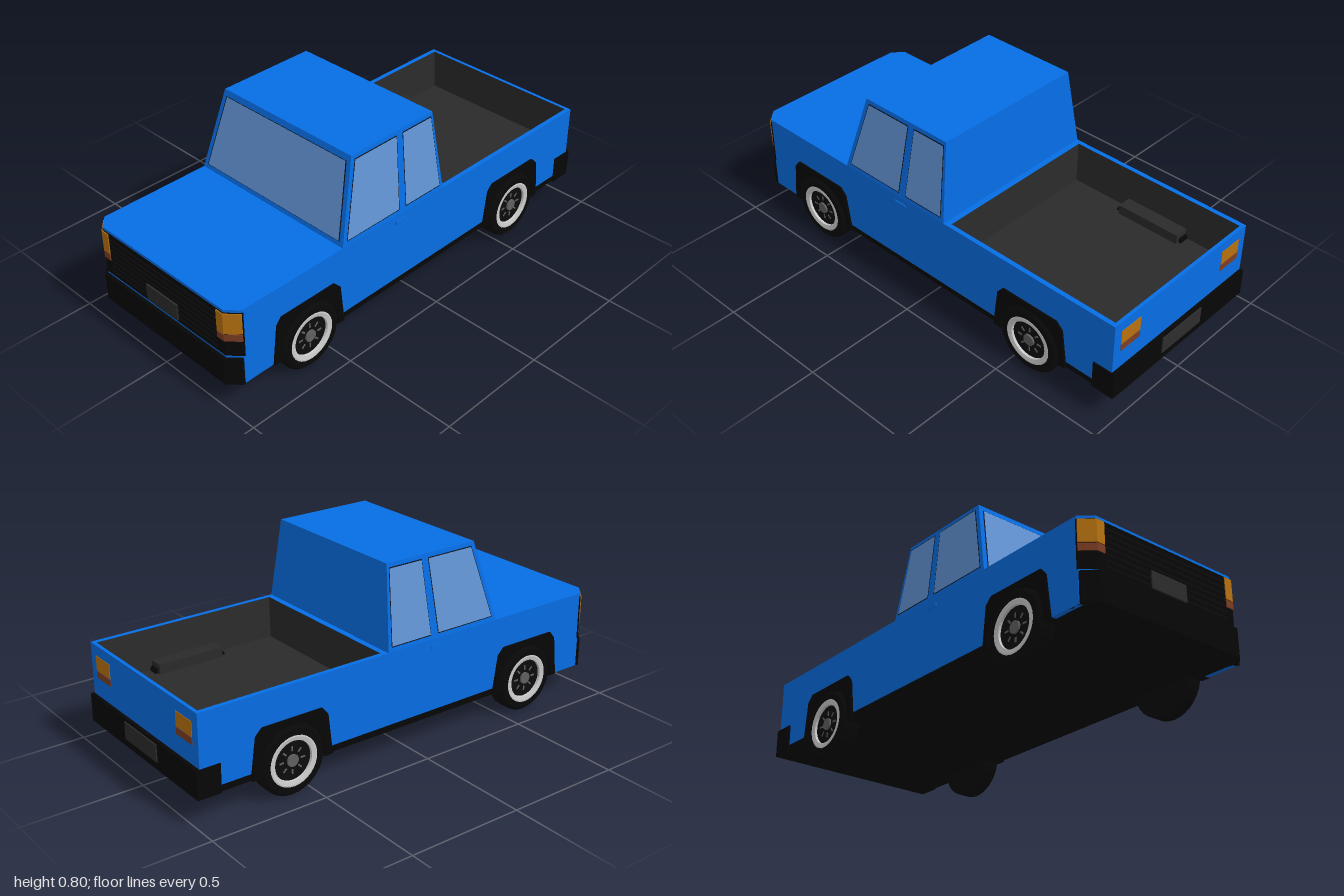
import * as THREE from 'three';

const mat = (color, side = THREE.FrontSide) =>
  new THREE.MeshStandardMaterial({ color, side, flatShading: true });
const blue = mat(0x066de4), black = mat(0x060606), dark = mat(0x0c0c0c), plateGrey = mat(0x2c2c2c);
const bedGrey = mat(0x2a2a2a), tubGrey = mat(0x2a2a2a, THREE.DoubleSide);
const orange = mat(0xb87210), brown = mat(0x7c3d24), silver = mat(0xbcbcbc), hubGrey = mat(0x606060);
const glass = mat(0x6294d4, THREE.DoubleSide), seal = mat(0x0c1420, THREE.DoubleSide);
const tyreMat = new THREE.MeshStandardMaterial({ color: 0x080808 });

export function createModel() {
  const root = new THREE.Group();
  const add = (name, geo, material, parent = root) => {
    const m = new THREE.Mesh(geo, material);
    m.name = name;
    parent.add(m);
    return m;
  };
  // Box given by its limits on each axis
  const box = (name, x0, x1, y0, y1, z0, z1, material) => {
    const g = new THREE.BoxGeometry(x1 - x0, y1 - y0, z1 - z0);
    g.translate((x0 + x1) / 2, (y0 + y1) / 2, (z0 + z1) / 2);
    return add(name, g, material);
  };
  const shapeOf = (pts) => new THREE.Shape(pts.map(([a, b]) => new THREE.Vector2(a, b)));
  // Side outline in (z, y), extruded across x
  const sideSlab = (name, shape, x0, x1, material) => {
    const g = new THREE.ExtrudeGeometry(shape, { depth: x1 - x0, bevelEnabled: false, curveSegments: 20 });
    g.rotateY(-Math.PI / 2).translate(x1, 0, 0);
    return add(name, g, material);
  };
  // Plan outline in (x, z), extruded up y
  const planSlab = (name, pts, y0, y1, material) => {
    const g = new THREE.ExtrudeGeometry(shapeOf(pts), { depth: y1 - y0, bevelEnabled: false });
    g.rotateX(Math.PI / 2).translate(0, y1, 0);
    return add(name, g, material);
  };
  // Full-width slab with chamfered front corners
  const noseSlab = (name, w, zBack, zFront, y0, y1, material) => planSlab(name, [
    [-w, zBack], [w, zBack], [w, zFront - 0.045], [w - 0.05, zFront],
    [0.05 - w, zFront], [-w, zFront - 0.045]], y0, y1, material);

  const wheelZ = [0.62, -0.585];
  const archOutline = (z, y) => [
    [z + 0.185, y], [z + 0.165, 0.29], [z + 0.14, 0.32],
    [z - 0.13, 0.32], [z - 0.16, 0.29], [z - 0.18, y]];

  // Underbody, deck and nose
  box('underbody', -0.33, 0.33, 0.115, 0.275, -0.97, 0.955, black);
  box('engineBay', -0.33, 0.33, 0.27, 0.41, -0.12, 0.93, black);
  box('deck', -0.38, 0.38, 0.4, 0.455, -0.15, 0.94, blue);
  box('bedFrontWall', -0.38, 0.38, 0.2, 0.41, -0.14, -0.125, blue);
  noseSlab('nose', 0.4, 0.92, 0.985, 0.125, 0.455, blue);
  box('tailgate', -0.38, 0.38, 0.145, 0.455, -0.98, -0.965, blue);

  // Side panels with wheel cut-outs, sills and arches
  const panel = shapeOf([[0.94, 0.115], [0.94, 0.455], [-0.98, 0.455], [-0.98, 0.145],
    ...archOutline(wheelZ[1], 0.145).reverse(), [0.438, 0.145],
    ...archOutline(wheelZ[0], 0.115).reverse().slice(1)]);
  for (const s of [1, -1]) {
    const side = s > 0 ? 'left' : 'right';
    const span = (a, b) => (s > 0 ? [a, b] : [-b, -a]);
    sideSlab(side + 'BodySide', panel, ...span(0.38, 0.4), blue);
    for (const [a, b] of [[-0.41, 0.445], [-0.975, -0.76], [0.8, 0.95]])
      box(side + 'Sill', ...span(0.32, 0.396), 0.115, 0.2, a, b, black);
    for (const z of wheelZ) {
      const r = 0.149, y = 0.145, a0 = -Math.asin(0.03 / r);
      const arch = new THREE.Shape();
      archOutline(z, 0.115).forEach(([a, b], i) => (i ? arch.lineTo(a, b) : arch.moveTo(a, b)));
      arch.absarc(z, y, r, Math.PI - a0, a0, true);
      sideSlab(side + 'WheelArch', arch, ...span(0.32, 0.408), black);
    }
    box(side + 'DoorHandle', ...span(0.395, 0.404), 0.415, 0.43, 0.09, 0.15, blue);
    box(side + 'BedWheelBox', ...span(0.304, 0.372), 0.27, 0.322, -0.735, -0.44, bedGrey);

    // Wraparound headlights and tail lights
    const lamp = [[0.315, 0.93], [0.315, 0.991], [0.352, 0.991], [0.402, 0.946], [0.402, 0.943], [0.38, 0.93]]
      .map(([x, z]) => [x * s, z]);
    planSlab(side + 'Headlight', lamp, 0.349, 0.44, orange);
    planSlab(side + 'FrontIndicator', lamp, 0.315, 0.345, brown);
    box(side + 'TailLight', ...span(0.25, 0.36), 0.348, 0.41, -0.982, -0.975, orange);
    box(side + 'ReverseLight', ...span(0.25, 0.36), 0.316, 0.345, -0.982, -0.975, brown);
  }

  // Bed liner: open tapered tub, faces turned inwards and the top left off
  const tub = new THREE.BoxGeometry(0.76, 0.174, 0.815);
  const tp = tub.attributes.position;
  for (let i = 0; i < tp.count; i++)
    if (tp.getY(i) < 0) tp.setXYZ(i, tp.getX(i) * 0.96, tp.getY(i), tp.getZ(i) * 0.98);
  tub.setIndex(Array.from(tub.index.array).filter((_, i) => i < 12 || i >= 18).reverse());
  tub.clearGroups();
  tub.computeVertexNormals();
  tub.translate(0, 0.367, -0.5575);
  add('bedLiner', tub, tubGrey);

  // Grille, bumpers and plates
  noseSlab('grille', 0.401, 0.935, 0.987, 0.245, 0.443, black);
  for (let i = 0; i < 7; i++)
    box('grilleSlat', -0.31, 0.31, 0.262 + i * 0.025, 0.272 + i * 0.025, 0.98, 0.99, dark);
  noseSlab('frontBumper', 0.402, 0.945, 1.0, 0.115, 0.235, black);
  box('frontPlate', -0.09, 0.09, 0.257, 0.328, 0.985, 0.994, plateGrey);
  box('rearBumper', -0.405, 0.405, 0.115, 0.235, -0.995, -0.895, black);
  box('rearPlate', -0.12, 0.12, 0.15, 0.223, -1.0, -0.99, plateGrey);

  // Cab: box narrowed towards the roof
  const rise = (y) => (y - 0.455) / 0.345;
  const cab = new THREE.BoxGeometry(2, 1, 1);
  const cp = cab.attributes.position;
  for (let i = 0; i < cp.count; i++) {
    const top = cp.getY(i) > 0, front = cp.getZ(i) > 0;
    cp.setXYZ(i, cp.getX(i) * (top ? 0.35 : 0.4), top ? 0.8 : 0.455,
      front ? (top ? 0.345 : 0.44) : (top ? -0.1 : -0.125));
  }
  cab.computeVertexNormals();
  add('cab', cab, blue);

  // Windows: glass quads with a slightly larger dark seal behind
  const quad = (name, pts, material) => {
    const g = new THREE.BufferGeometry().setFromPoints(pts);
    g.setIndex([0, 1, 2, 0, 2, 3]);
    g.computeVertexNormals();
    add(name, g, material);
  };
  const pane = (name, pts, out) => {
    const v = pts.map((p) => new THREE.Vector3(...p));
    const c = v.reduce((a, p) => a.add(p), new THREE.Vector3()).multiplyScalar(0.25);
    const grow = (p) => p.clone().add(p.clone().sub(c).normalize().multiplyScalar(0.005));
    quad(name + 'Seal', v.map((p) => grow(p).addScaledVector(out, 0.001)), seal);
    quad(name, v.map((p) => p.clone().addScaledVector(out, 0.002)), glass);
  };
  const screenPt = (x, y) => [x, y, 0.44 - 0.095 * rise(y)];
  pane('windscreen', [screenPt(-0.374, 0.475), screenPt(0.374, 0.475),
    screenPt(0.33, 0.773), screenPt(-0.33, 0.773)], new THREE.Vector3(0, 0.27, 0.96));
  for (const s of [1, -1]) {
    const sidePt = (z, y) => [s * (0.4 - 0.05 * rise(y)), y, z];
    const quadSide = (b0, b1, t1, t0) => {
      const pts = [sidePt(b0, 0.477), sidePt(b1, 0.477), sidePt(t1, 0.779), sidePt(t0, 0.779)];
      return s > 0 ? pts : pts.reverse();
    };
    const out = new THREE.Vector3(s, 0.14, 0);
    pane('frontSideWindow', quadSide(0.413, 0.13, 0.106, 0.328), out);
    pane('rearSideWindow', quadSide(0.089, -0.106, -0.089, 0.07), out);
  }

  // Wheels: built with the axle on x, outer face towards +x
  const lathe = (pts) => new THREE.LatheGeometry(pts.map(([r, x]) => new THREE.Vector2(r, x)), 32)
    .rotateZ(-Math.PI / 2);
  const disc = (r, d, x) => new THREE.CylinderGeometry(r, r, d, 24).rotateZ(-Math.PI / 2).translate(x, 0, 0);
  for (const z of wheelZ) for (const s of [1, -1]) {
    const wheel = new THREE.Group();
    wheel.name = (z > 0 ? 'front' : 'rear') + (s > 0 ? 'Left' : 'Right') + 'Wheel';
    add('tyre', lathe([[0, -0.0425], [0.13, -0.0425], [0.13, -0.0425], [0.145, -0.03], [0.145, -0.03],
      [0.145, 0.03], [0.145, 0.03], [0.132, 0.0425], [0.132, 0.0425], [0.105, 0.0425],
      [0.105, 0.0425], [0.1, 0.025], [0, 0.025]]), tyreMat, wheel);
    add('rimRing', lathe([[0.106, 0.03], [0.106, 0.0425], [0.1, 0.0435], [0.084, 0.04], [0.082, 0.025]]), silver, wheel);
    add('rimDisc', disc(0.083, 0.008, 0.026), dark, wheel);
    add('hub', disc(0.025, 0.014, 0.031), hubGrey, wheel);
    for (let i = 0; i < 8; i++) {
      const spoke = new THREE.BoxGeometry(0.004, 0.02, 0.007).translate(0.03, 0.048, 0);
      add('spoke', spoke.rotateX((i * Math.PI) / 4), hubGrey, wheel);
    }
    wheel.position.set(s * 0.3725, 0.145, z);
    if (s < 0) wheel.rotation.y = Math.PI;
    root.add(wheel);
  }
  return root;
}
